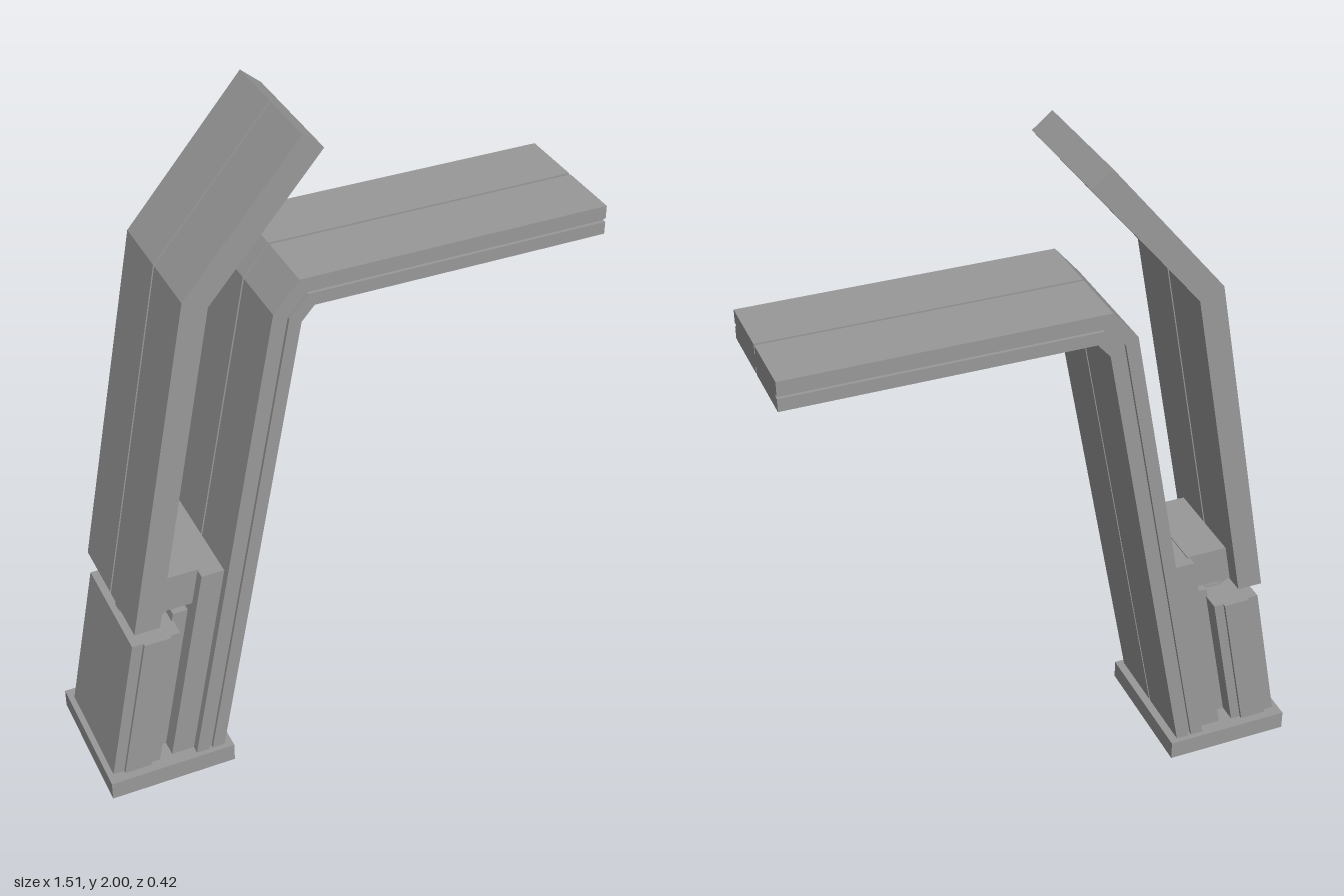
import * as THREE from 'three';

const metal = new THREE.MeshStandardMaterial({ color: 0x989898 });
metal.name = 'satin grey metal';

// Straight prism along z from an x/y outline, between z0 and z1
function prism(name, points, z0, z1) {
  const shape = new THREE.Shape(points.map(([x, y]) => new THREE.Vector2(x, y)));
  const geometry = new THREE.ExtrudeGeometry(shape, { depth: z1 - z0, bevelEnabled: false });
  geometry.translate(0, 0, z0);
  const mesh = new THREE.Mesh(geometry, metal);
  mesh.name = name;
  return mesh;
}

// Bent band: the slice a..b between an outer and an inner path
function band(outer, inner, a, b) {
  const at = (t) => outer.map(([x, y], i) => [
    x + (inner[i][0] - x) * t,
    y + (inner[i][1] - y) * t,
  ]);
  return [...at(a), ...at(b).reverse()];
}

// Two mirrored halves with a fine seam at z = 0
function halves(name, points, width, seam) {
  const group = new THREE.Group();
  group.name = name;
  group.add(prism(name + 'LeftHalf', points, seam, width));
  group.add(prism(name + 'RightHalf', points, -width, -seam));
  return group;
}

// Block leaning with the column: x range at its foot, height of its top
const LEAN = 0.183;
const FOOT = 0.055;
function leaning(name, x0, x1, top, halfWidth) {
  const shift = (top - FOOT) * LEAN;
  return prism(name, [[x0, FOOT], [x1, FOOT], [x1 + shift, top], [x0 + shift, top]], -halfWidth, halfWidth);
}

export function createModel() {
  const model = new THREE.Group();
  model.name = 'faucet';

  // Base plate
  model.add(prism('basePlate', [[-0.755, 0], [-0.375, 0], [-0.375, 0.058], [-0.755, 0.058]], -0.211, 0.211));

  // Column and spout: two bent layers around a recessed core
  const outer = [[-0.487, FOOT], [-0.222, 1.508], [-0.148, 1.594], [0.752, 1.594]];
  const inner = [[-0.4, FOOT], [-0.143, 1.466], [-0.106, 1.508], [0.752, 1.508]];
  model.add(halves('spoutUpperLayer', band(outer, inner, 0, 0.45), 0.195, 0.004));
  model.add(halves('spoutLowerLayer', band(outer, inner, 0.57, 1), 0.195, 0.004));
  model.add(prism('spoutCore', band(outer, inner, 0.3, 0.75), -0.185, 0.185));

  // Flared outlet under the spout
  const outlet = new THREE.Mesh(new THREE.CylinderGeometry(0.04, 0.083, 0.05, 40), metal);
  outlet.name = 'outlet';
  outlet.position.set(0.615, 1.484, 0);
  model.add(outlet);

  // Bent lever with a seam down the middle
  const leverOuter = [[-0.65, 0.58], [-0.466, 1.608], [-0.138, 2]];
  const leverInner = [[-0.575, 0.58], [-0.397, 1.577], [-0.08, 1.953]];
  model.add(halves('lever', band(leverOuter, leverInner, 0, 1), 0.195, 0.004));
  model.add(prism('leverCore', band(leverOuter, leverInner, 0.2, 0.8), -0.01, 0.01));

  // Valve body behind the column
  model.add(leaning('valveBody', -0.738, -0.595, 0.52, 0.175));
  model.add(leaning('valveSidePanel', -0.705, -0.625, 0.52, 0.185));
  model.add(leaning('valveInset', -0.6, -0.545, 0.545, 0.12));
  model.add(leaning('columnBacking', -0.555, -0.487, 0.695, 0.17));

  // Ball joint and the block joining it to the lever
  const joint = new THREE.Mesh(
    new THREE.SphereGeometry(0.085, 32, 16, 0, Math.PI * 2, 0, Math.PI / 2), metal);
  joint.name = 'ballJoint';
  joint.position.set(-0.55, 0.515, 0);
  model.add(joint);
  model.add(prism('leverBlock', [[-0.58, 0.583], [-0.43, 0.583], [-0.43, 0.698], [-0.56, 0.698]], -0.14, 0.14));

  return model;
}
